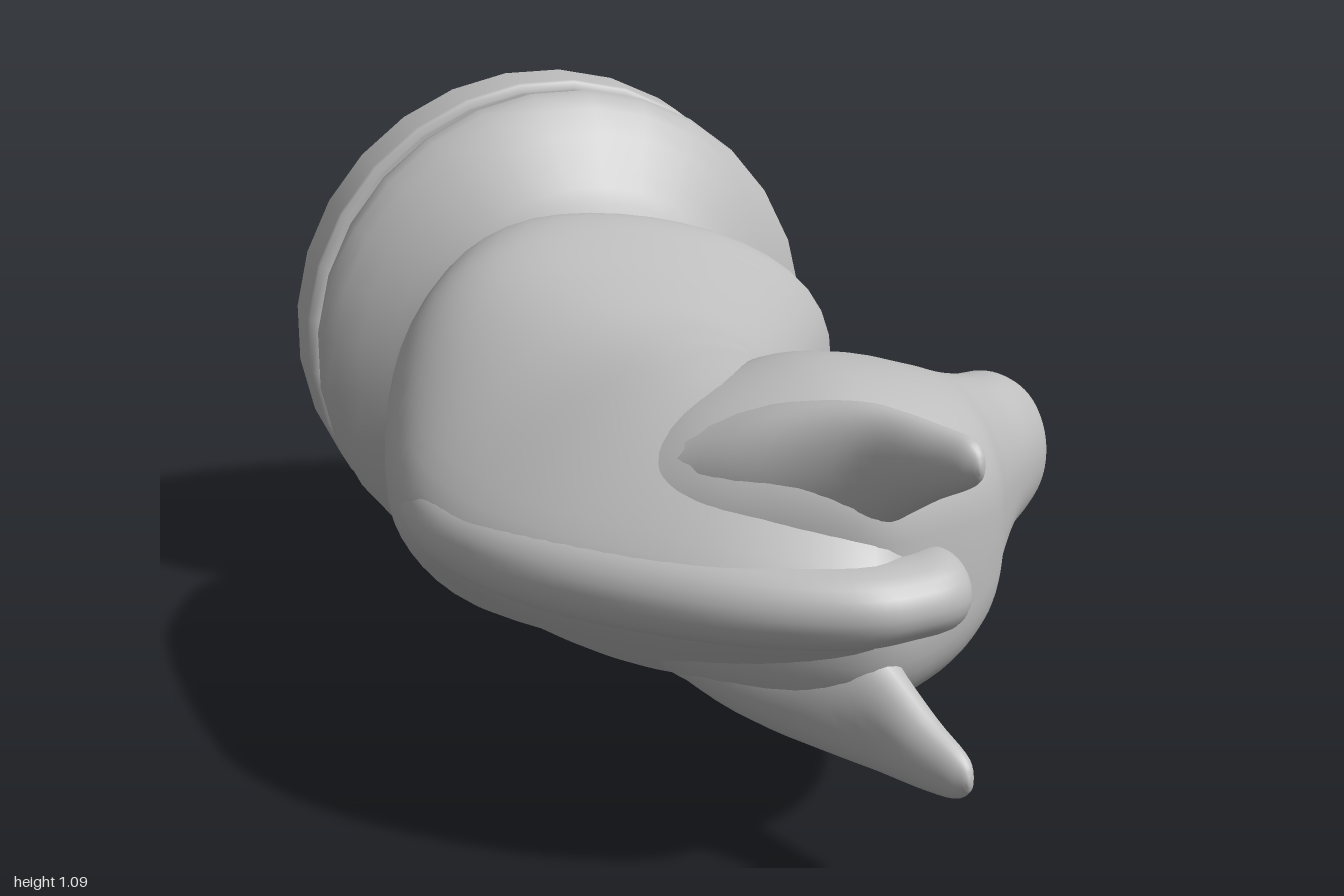
import * as THREE from 'three';

const CX = -0.045, CY = 0.545; // axis of the round foot
const ramp = THREE.MathUtils.smoothstep;
const stone = new THREE.MeshStandardMaterial({ color: 0xbdbdbd });
stone.name = 'grey stone';

// Smooth skin over sections [innerX, innerZ, outerX, outerZ, halfWidth, centreY].
// taper narrows the outer side, power squares the section, skew moves its widest
// point towards the outer side, hollow dents the inner side.
function loft(name, sections, {
  taper = () => 0, power = () => 1, skew = () => 0, hollow = 0, steps = 32, around = 40,
} = {}) {
  const curve = (pick) => new THREE.CatmullRomCurve3(sections.map(pick), false, 'catmullrom', 0.5);
  const inner = curve((s) => new THREE.Vector3(s[0], s[5] ?? CY, s[1]));
  const outer = curve((s) => new THREE.Vector3(s[2], s[5] ?? CY, s[3]));
  const width = curve((s) => new THREE.Vector3(0, s[4], 0));
  const pos = [], index = [];
  for (let i = 0; i <= steps; i++) {
    const t = i / steps;
    const a = inner.getPoint(t), b = outer.getPoint(t), w = width.getPoint(t).y;
    const mid = a.clone().add(b).multiplyScalar(0.5);
    const half = b.clone().sub(a).multiplyScalar(0.5);
    for (let j = 0; j < around; j++) {
      const angle = (j / around) * Math.PI * 2;
      const c = Math.cos(angle), s = Math.sin(angle);
      const along = (c < 0 ? c * (1 - hollow * c * c) : c) + skew(t) * s * s;
      const narrow = c > 0 ? 1 - taper(t) * c * c : 1;
      const p = mid.clone().addScaledVector(half, along);
      p.y += w * narrow * Math.sign(s) * Math.abs(s) ** power(t);
      pos.push(p.x, p.y, p.z);
      if (i < steps) {
        const k = (j + 1) % around, r = i * around, q = r + around;
        index.push(r + j, q + j, r + k, q + j, q + k, r + k);
      }
    }
  }
  // closed ends
  for (const end of [0, 1]) {
    const m = inner.getPoint(end).add(outer.getPoint(end)).multiplyScalar(0.5);
    const tip = pos.length / 3, r = end * steps * around;
    pos.push(m.x, m.y, m.z);
    for (let j = 0; j < around; j++) {
      const k = (j + 1) % around;
      if (end) index.push(tip, r + k, r + j);
      else index.push(tip, r + j, r + k);
    }
  }
  const geo = new THREE.BufferGeometry();
  geo.setAttribute('position', new THREE.Float32BufferAttribute(pos, 3));
  geo.setIndex(index);
  geo.computeVertexNormals();
  const mesh = new THREE.Mesh(geo, stone);
  mesh.name = name;
  return mesh;
}

// Turned part around the z axis from [radius, z] pairs
function turned(name, profile) {
  const sides = 28;
  const geo = new THREE.LatheGeometry(profile.map(([r, z]) => new THREE.Vector2(r, z)), sides, Math.PI / sides);
  geo.rotateX(Math.PI / 2);
  const mesh = new THREE.Mesh(geo, stone);
  mesh.position.set(CX, CY, 0);
  mesh.name = name;
  return mesh;
}

export function createModel() {
  const group = new THREE.Group();
  group.name = 'knightPiece';

  // Foot disc and the moulded collar above it
  group.add(turned('footDisc', [
    [0, -1], [0.525, -1], [0.53, -1], [0.543, -0.995], [0.547, -0.985],
    [0.547, -0.875], [0.544, -0.865], [0.53, -0.86], [0.525, -0.86], [0, -0.86]]));
  group.add(turned('collar', [
    [0.5, -0.87], [0.502, -0.85], [0.522, -0.825], [0.54, -0.795], [0.547, -0.765], [0.542, -0.74],
    [0.52, -0.71], [0.475, -0.67], [0.415, -0.63], [0.375, -0.6], [0.347, -0.57], [0.328, -0.54],
    [0.3, -0.5], [0, -0.48]]));

  // Arched neck: full at the shoulders, wedge-shaped towards the crest
  group.add(loft('neck', [
    [0.27, -0.63, -0.36, -0.63, 0.3],
    [0.318, -0.55, -0.4, -0.55, 0.324],
    [0.365, -0.46, -0.44, -0.47, 0.345],
    [0.425, -0.375, -0.495, -0.37, 0.384],
    [0.345, -0.23, -0.57, -0.2, 0.38],
    [0.235, -0.05, -0.618, 0, 0.35],
    [0.14, 0.11, -0.628, 0.2, 0.318],
    [0.1, 0.2, -0.582, 0.4, 0.303],
    [0.1, 0.27, -0.458, 0.6, 0.29],
    [0.12, 0.34, -0.24, 0.8, 0.26],
    [0.16, 0.45, -0.01, 0.895, 0.2],
    [0.18, 0.55, 0.13, 0.84, 0.1],
  ], {
    taper: (t) => 0.2 * ramp(t, 0.1, 0.27) + 0.28 * ramp(t, 0.36, 0.62),
    power: (t) => 1 - 0.2 * ramp(t, 0.12, 0.27),
    skew: (t) => 0.28 * ramp(t, 0.1, 0.27) - 0.56 * ramp(t, 0.34, 0.64),
    steps: 60, around: 48,
  }));

  // Head with flat cheeks, rounding off to the muzzle
  group.add(loft('head', [
    [-0.36, 0.38, -0.34, 0.58, 0.14],
    [-0.18, 0.27, -0.18, 0.72, 0.255],
    [0, 0.19, 0.03, 0.825, 0.308],
    [0.14, 0.165, 0.2, 0.775, 0.292],
    [0.25, 0.17, 0.33, 0.67, 0.252],
    [0.35, 0.135, 0.41, 0.54, 0.205],
    [0.44, 0.08, 0.5, 0.41, 0.165],
    [0.515, 0.06, 0.57, 0.33, 0.15],
    [0.58, 0.095, 0.612, 0.28, 0.115],
    [0.612, 0.14, 0.63, 0.24, 0.065],
    [0.625, 0.17, 0.632, 0.21, 0.025],
  ], { power: (t) => 0.5 + 0.45 * ramp(t, 0.25, 0.75), taper: () => 0.08, steps: 54, around: 56 }));

  // Mane along the crest, ending in the forelock
  group.add(loft('mane', [
    [-0.5, -0.06, -0.59, -0.08, 0.03],
    [-0.5, 0.18, -0.632, 0.2, 0.07],
    [-0.45, 0.35, -0.59, 0.4, 0.075],
    [-0.34, 0.51, -0.47, 0.6, 0.08],
    [-0.15, 0.68, -0.25, 0.81, 0.078],
    [-0.02, 0.75, -0.04, 0.922, 0.073],
    [0.08, 0.74, 0.09, 0.925, 0.07],
    [0.13, 0.73, 0.18, 0.885, 0.07],
    [0.17, 0.73, 0.212, 0.8, 0.04],
  ], { steps: 48, around: 24 }));

  // Pair of pointed ears, broad at the root
  for (const side of [1, -1]) {
    group.add(loft(side > 0 ? 'upperEar' : 'lowerEar', [
      [0.06, 0.44, -0.3, 0.54, 0.12, CY + side * 0.12],
      [0.1, 0.6, -0.2, 0.66, 0.135, CY + side * 0.162],
      [0.12, 0.73, -0.08, 0.75, 0.128, CY + side * 0.197],
      [0.125, 0.82, 0.0, 0.82, 0.098, CY + side * 0.232],
      [0.145, 0.9, 0.055, 0.91, 0.066, CY + side * 0.262],
      [0.16, 0.96, 0.098, 0.97, 0.045, CY + side * 0.278],
      [0.155, 0.985, 0.122, 0.992, 0.026, CY + side * 0.28],
      [0.145, 0.995, 0.135, 1, 0.008, CY + side * 0.28],
    ], { hollow: 0.25, steps: 28, around: 24 }));
  }
  return group;
}
